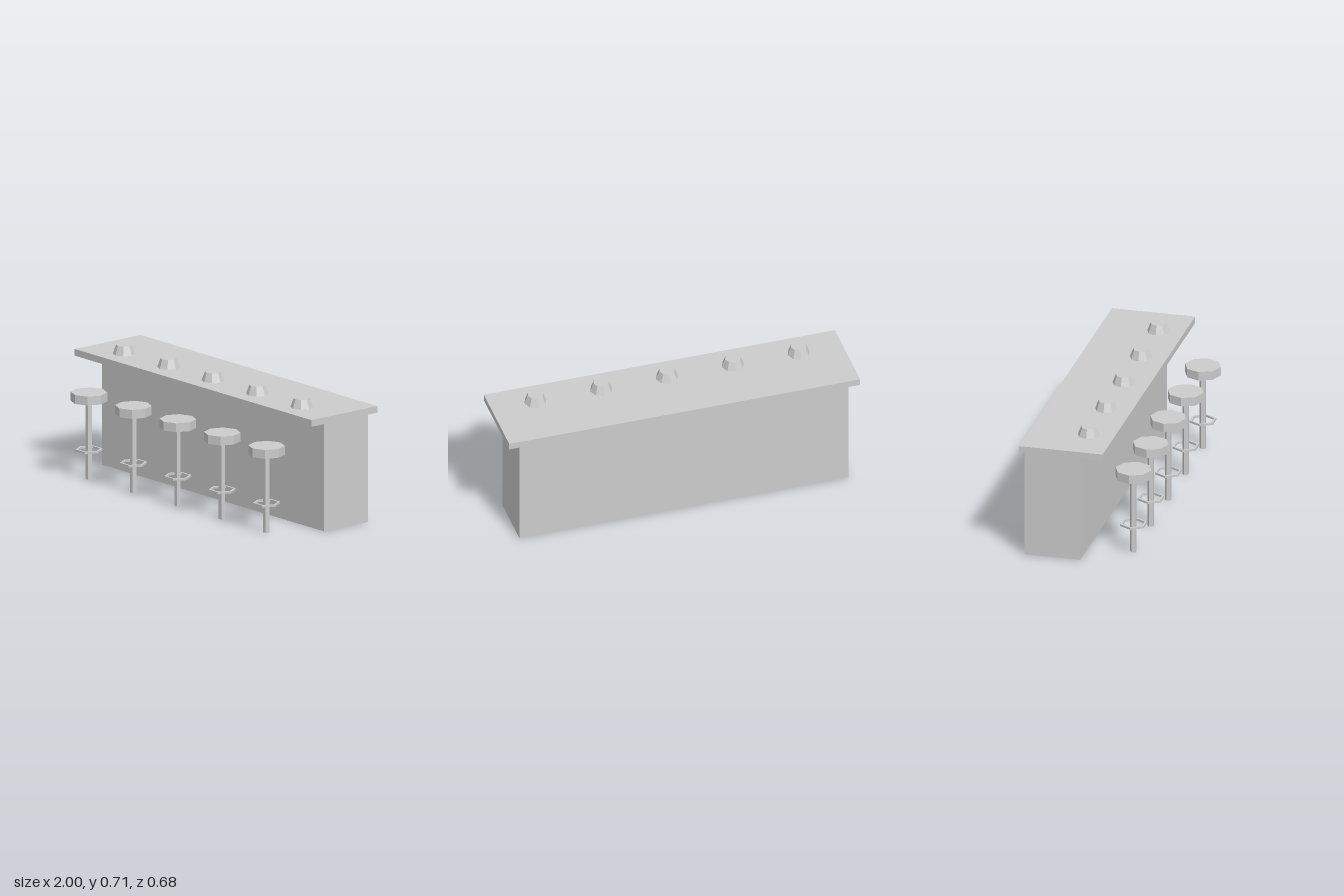
import * as THREE from 'three';

const grey = new THREE.MeshStandardMaterial({ color: 0xcccccc, flatShading: true });
grey.name = 'plain grey';

function part(name, geometry, x, y, z) {
  const mesh = new THREE.Mesh(geometry, grey);
  mesh.name = name;
  mesh.position.set(x, y, z);
  return mesh;
}

// Hexagonal foot ring with a rectangular section, corners towards +x and -x
function footRingGeometry(outer, inner, height) {
  const h = height / 2;
  const section = [[outer, -h], [outer, h], [inner, h], [inner, -h], [outer, -h]]
    .map(([r, y]) => new THREE.Vector2(r, y));
  return new THREE.LatheGeometry(section, 6, Math.PI / 2);
}

export function createModel() {
  const model = new THREE.Group();
  model.name = 'barCounterWithStools';

  // Counter
  model.add(part('counterBody', new THREE.BoxGeometry(1.876, 0.625, 0.3125), 0, 0.3125, -0.167));
  model.add(part('counterTop', new THREE.BoxGeometry(2, 0.0375, 0.469), 0, 0.6437, -0.1035));

  // Shared geometry of the repeated parts
  const bowl = new THREE.CylinderGeometry(0.044, 0.0625, 0.05, 8);
  const seat = new THREE.CylinderGeometry(0.1, 0.1, 0.05, 8);
  const pole = new THREE.CylinderGeometry(0.01875, 0.01875, 0.4385, 5, 1, false, Math.PI);
  const ring = footRingGeometry(0.075, 0.0625, 0.0115);

  // Five stools, each with an upturned bowl on the counter behind it
  for (let i = -2; i <= 2; i++) {
    const x = i * 0.375;
    model.add(part('bowl', bowl, x, 0.6875, -0.0105));

    const stool = new THREE.Group();
    stool.name = 'stool';
    stool.position.set(x, 0, 0.24);
    stool.add(part('seat', seat, 0, 0.4635, 0));
    stool.add(part('pole', pole, 0, 0.2193, 0));
    stool.add(part('footRing', ring, 0, 0.1635, 0));
    model.add(stool);
  }
  return model;
}
